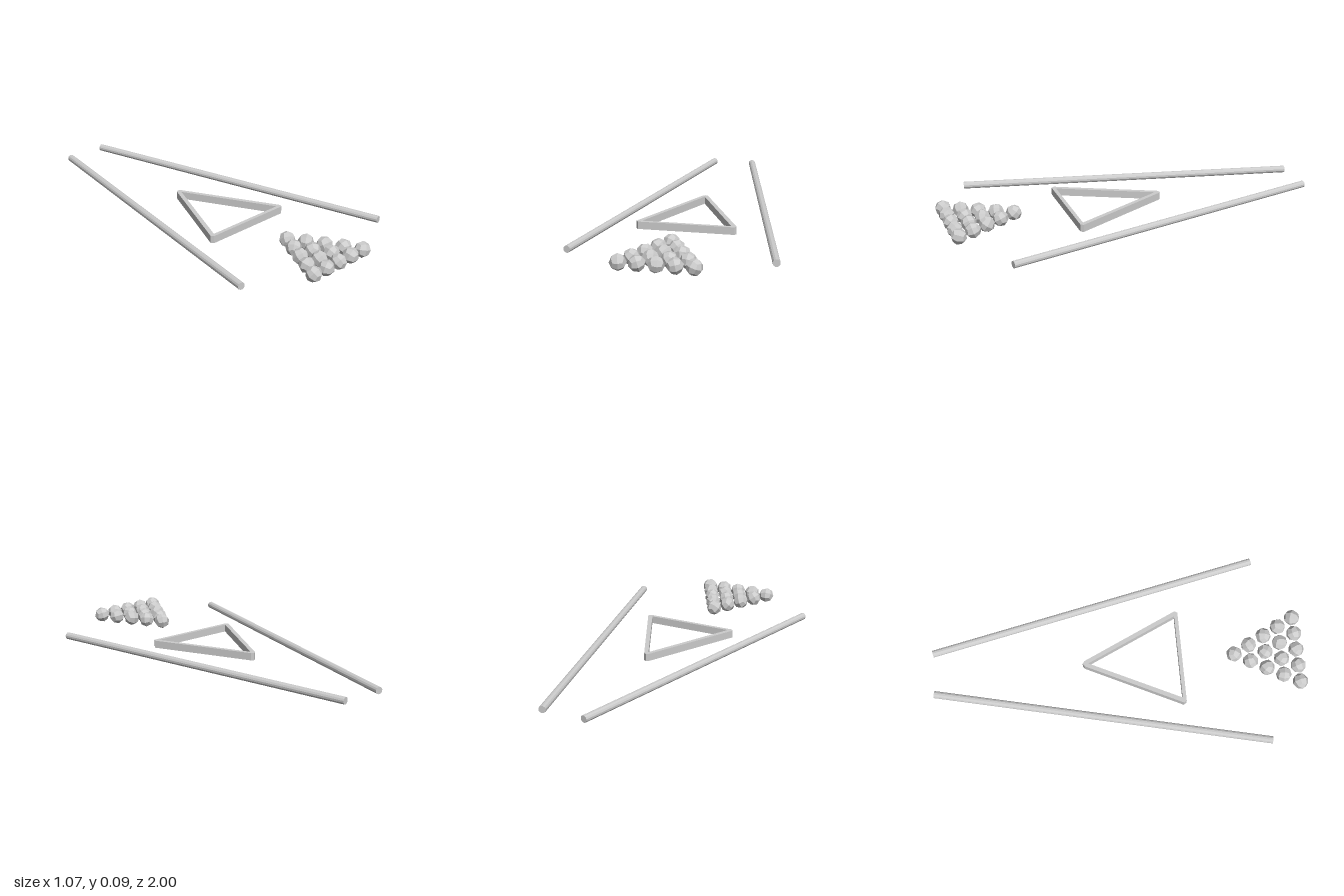
import * as THREE from 'three';

const material = new THREE.MeshStandardMaterial({ color: 0xcccccc, flatShading: true });

function seeded(seed) {
  return () => (seed = (seed * 16807) % 2147483647) / 2147483647;
}

// Faceted ball: a cube split 2 x 2 per face and pushed out so each quad is a flat kite
function ballGeometry(radius) {
  const geo = new THREE.BoxGeometry(2, 2, 2, 2, 2, 2);
  const pos = geo.attributes.position;
  const v = new THREE.Vector3();
  const reach = [0, 1, 0.707, 0.547];
  for (let i = 0; i < pos.count; i++) {
    v.fromBufferAttribute(pos, i).round();
    const axes = Math.abs(v.x) + Math.abs(v.y) + Math.abs(v.z);
    v.multiplyScalar(reach[axes] * radius);
    pos.setXYZ(i, v.x, v.y, v.z);
  }
  geo.computeVertexNormals();
  return geo;
}

// Straight stick between two points
function stick(name, from, to, radius) {
  const dir = to.clone().sub(from);
  const mesh = new THREE.Mesh(new THREE.CylinderGeometry(radius, radius, dir.length(), 12), material);
  mesh.position.copy(from).add(to).multiplyScalar(0.5);
  mesh.quaternion.setFromUnitVectors(new THREE.Vector3(0, 1, 0), dir.normalize());
  mesh.name = name;
  return mesh;
}

const points = (list) => list.map(([x, z]) => new THREE.Vector2(x, z));

export function createModel() {
  const model = new THREE.Group();
  model.name = 'billiardSet';

  // Two sticks, converging toward the back
  for (const [name, s] of [['leftCue', 1], ['rightCue', -1]]) {
    model.add(stick(name, new THREE.Vector3(s * 0.515, 0.03, 0.772),
      new THREE.Vector3(s * 0.115, 0.03, -0.996), 0.019));
  }

  // Triangular rack with clipped corners
  const outline = new THREE.Shape(points([
    [-0.277, 0.325], [-0.267, 0.34], [0.237, 0.34], [0.247, 0.325],
    [0, -0.185], [-0.015, -0.195], [-0.03, -0.185],
  ]));
  outline.holes.push(new THREE.Path(points([[-0.248, 0.32], [-0.015, -0.165], [0.218, 0.32]])));
  const rackGeo = new THREE.ExtrudeGeometry(outline, { depth: 0.04, bevelEnabled: false });
  rackGeo.rotateX(Math.PI / 2);
  const rack = new THREE.Mesh(rackGeo, material);
  rack.position.y = 0.051;
  rack.name = 'rack';
  model.add(rack);

  // Fifteen balls in five rows, each turned differently
  const balls = new THREE.Group();
  balls.name = 'balls';
  const random = seeded(4711);
  const geo = ballGeometry(0.043);
  for (let row = 0; row < 5; row++) {
    for (let i = 0; i <= row; i++) {
      const ball = new THREE.Mesh(geo, material);
      ball.position.set(-0.026 + (i - row / 2) * 0.0915, 0.05, 0.62 + row * 0.0838);
      ball.rotation.set(random() * 6.28, random() * 6.28, random() * 6.28);
      ball.name = `ball${row + 1}_${i + 1}`;
      balls.add(ball);
    }
  }
  model.add(balls);
  return model;
}
